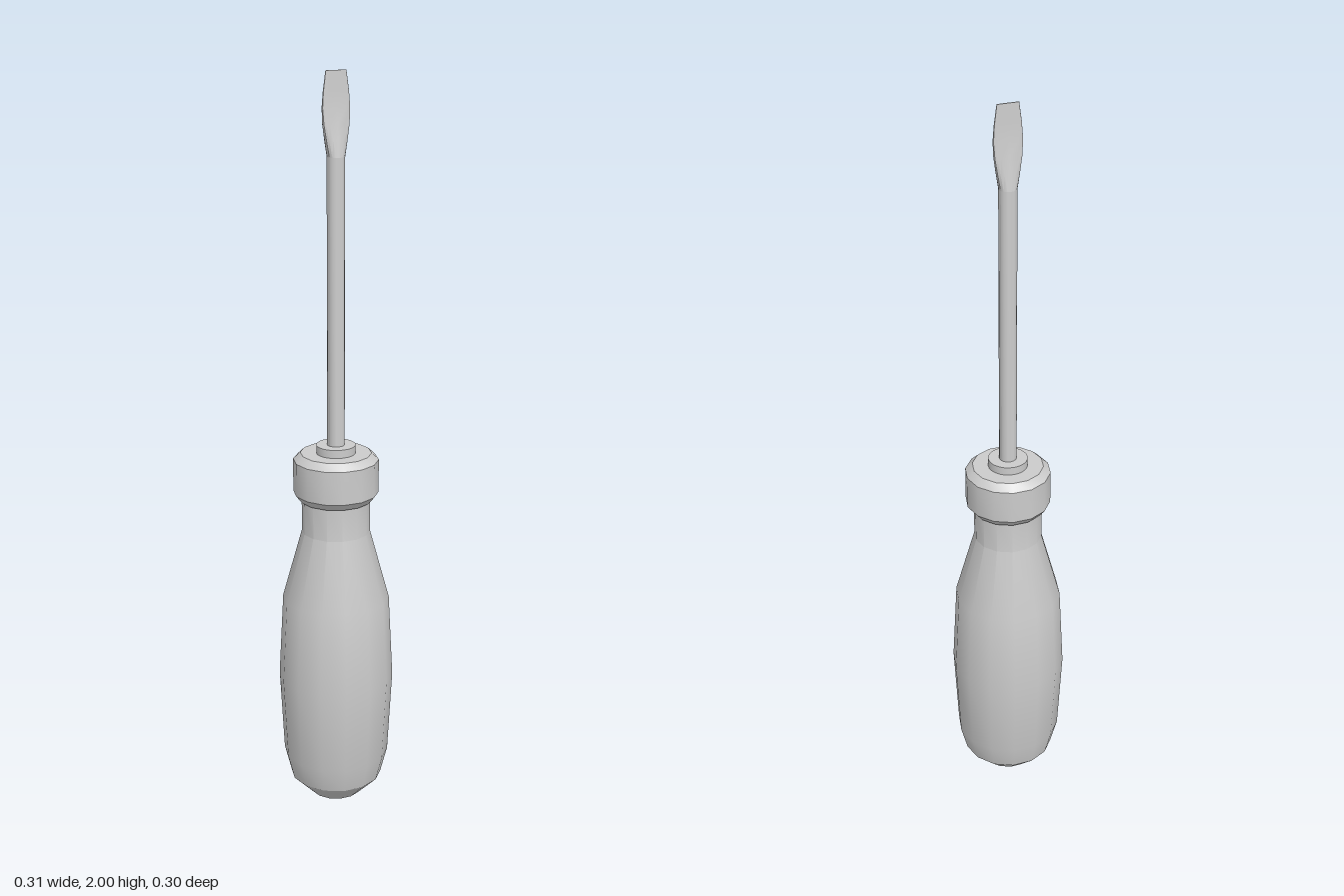
import * as THREE from 'three';
import { toCreasedNormals } from 'three/addons/utils/BufferGeometryUtils.js';

const material = new THREE.MeshStandardMaterial({ color: 0xcccccc });

function addPart(group, name, geometry) {
  const mesh = new THREE.Mesh(toCreasedNormals(geometry, 0.5), material);
  mesh.name = name;
  group.add(mesh);
}

// Turned shape from [radius, height] pairs, with a corner on the x axis
function turned(profile, sides) {
  const points = profile.map(([r, y]) => new THREE.Vector2(r, y));
  return new THREE.LatheGeometry(points, sides, Math.PI / 2);
}

// Skin over cross-sections [y, half width, half depth, squareness power]
function loft(sections, sides) {
  const positions = [];
  const indices = [];
  const bend = (v, p) => (Math.abs(v) < 1e-6 ? 0 : Math.sign(v) * Math.abs(v) ** p);
  for (const [y, w, d, p] of sections) {
    for (let i = 0; i < sides; i++) {
      const a = (i / sides) * Math.PI * 2;
      positions.push(w * bend(Math.cos(a), p), y, d * bend(Math.sin(a), p));
    }
  }
  for (let s = 0; s < sections.length - 1; s++) {
    for (let i = 0; i < sides; i++) {
      const a = s * sides + i;
      const b = s * sides + ((i + 1) % sides);
      indices.push(a, a + sides, b, b, a + sides, b + sides);
    }
  }
  // Closed end at the tip
  const last = (sections.length - 1) * sides;
  for (let i = 1; i < sides - 1; i++) indices.push(last, last + i + 1, last + i);
  const geometry = new THREE.BufferGeometry();
  geometry.setAttribute('position', new THREE.Float32BufferAttribute(positions, 3));
  geometry.setIndex(indices);
  return geometry;
}

export function createModel() {
  const group = new THREE.Group();
  group.name = 'screwdriver';

  // Swelling grip with a faceted butt and a narrow neck
  addPart(group, 'handle', turned([
    [0, 0], [0.07, 0.025], [0.125, 0.08], [0.143, 0.15], [0.155, 0.38],
    [0.143, 0.61], [0.091, 0.8], [0.091, 0.9],
  ], 14));

  // Bevelled collar above the neck
  addPart(group, 'collar', turned([
    [0.085, 0.89], [0.097, 0.89], [0.113, 0.91], [0.113, 1.0], [0.094, 1.018], [0, 1.018],
  ], 14));

  // Small ring where the shaft enters the collar
  addPart(group, 'ferrule', turned([[0.052, 1.01], [0.052, 1.04], [0, 1.04]], 24));

  // Round shaft
  addPart(group, 'shaft', turned([[0.023, 1.03], [0.023, 1.79]], 16));

  // Flattened blade: round at the shaft, flared, then thin at the tip
  addPart(group, 'blade', loft([
    [1.79, 0.023, 0.023, 1],
    [1.83, 0.03, 0.016, 0.8],
    [1.87, 0.036, 0.01, 0.6],
    [1.91, 0.038, 0.005, 0.4],
    [1.95, 0.035, 0.003, 0.35],
    [2.0, 0.028, 0.0015, 0.3],
  ], 16));

  return group;
}
